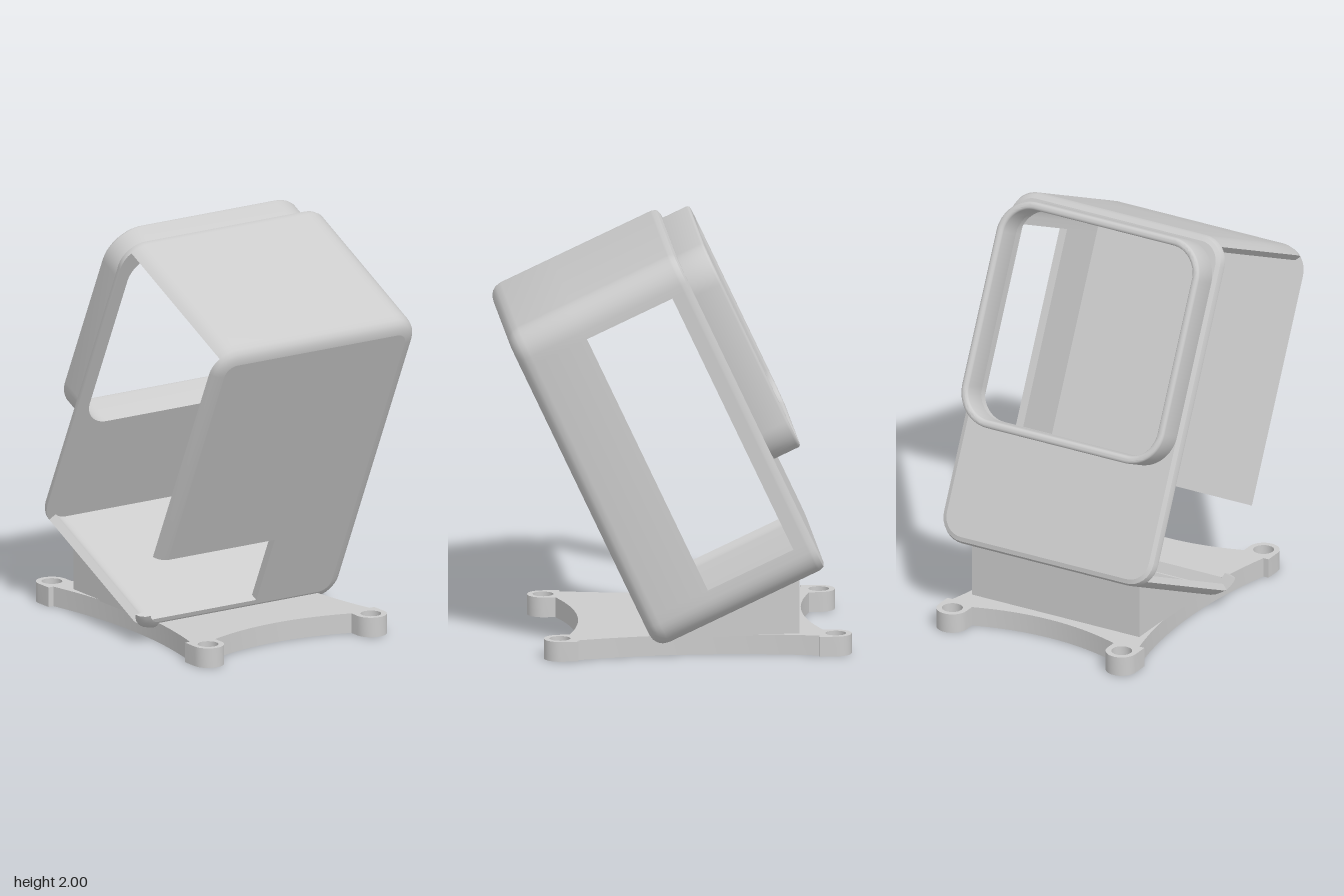
import * as THREE from 'three';
import { toCreasedNormals } from 'three/addons/utils/BufferGeometryUtils.js';

const TILT = THREE.MathUtils.degToRad(25);
const X = 0.592, BOTTOM = 0.087, TOP = 1.806, R = 0.13, WALL = 0.04; // case outline
const BACK = -0.81, FRONT = 0.09, IN_BACK = BACK + WALL, IN_FRONT = FRONT - WALL;
const NOTCH = { x: 0.095, lo: 0.18, hi: 0.55 };
const WINDOW = { lo: 0.263, hi: 1.635, back: -0.708, front: -0.255 };

const material = new THREE.MeshStandardMaterial({ color: 0xcccccc, side: THREE.DoubleSide });

function mesh(name, geometry, crease = 0.6) {
  const m = new THREE.Mesh(toCreasedNormals(geometry, crease), material);
  m.name = name;
  return m;
}

// Counterclockwise case outline, moved inwards by inset; always the same point count
function outline(inset) {
  const pts = [], r = R - inset, n = 8;
  const corner = (cx, cy, start) => {
    for (let k = 0; k <= n; k++) {
      const a = start + (k / n) * Math.PI / 2;
      pts.push([cx + r * Math.cos(a), cy + r * Math.sin(a)]);
    }
  };
  pts.push([X - inset, WINDOW.lo], [X - inset, WINDOW.hi]);
  corner(X - R, TOP - R, 0);
  corner(-X + R, TOP - R, Math.PI / 2);
  pts.push([-X + inset, NOTCH.hi]);
  corner(-X + R, BOTTOM + R, Math.PI);
  corner(X - R, BOTTOM + R, Math.PI * 1.5);
  return pts;
}

// Walls of the case: outer and inner skin over a grid, with openings and their rims
function caseWalls() {
  const fr = 0.07, rings = [[0.03, BACK], [0.009, BACK + 0.009], [0, BACK + 0.03], [0, IN_BACK],
    [0, WINDOW.back], [0, WINDOW.front]];
  for (const a of [0, Math.asin((IN_FRONT - FRONT + fr) / fr), 0.78, 1.17, Math.PI / 2])
    rings.push([fr * (1 - Math.cos(a)), FRONT - fr + fr * Math.sin(a)]);
  const outer = rings.map(([s, w]) => outline(s).map(([x, y]) => [x, y, w]));
  const inner = rings.map(([s, w]) => outline(Math.max(WALL, s))
    .map(([x, y]) => [x, y, Math.min(IN_FRONT, Math.max(IN_BACK, w))]));
  const base = outline(0), N = base.length, M = rings.length - 1;

  const keep = (i, j) => {
    if (i < 0 || i >= M) return true;
    const p = base[j % N], q = base[(j + 1) % N];
    const x = (p[0] + q[0]) / 2, y = (p[1] + q[1]) / 2, w = (rings[i][1] + rings[i + 1][1]) / 2;
    if (x < -0.555 && w > IN_BACK && w < IN_FRONT) return false;                     // open side
    if (x < -0.4 && w > IN_FRONT && y > NOTCH.lo && y < NOTCH.hi) return false;      // front notch
    return !(x > X - 0.01 && y > WINDOW.lo && y < WINDOW.hi && w > WINDOW.back && w < WINDOW.front);
  };

  const pos = [];
  const quad = (a, b, c, d) => pos.push(...a, ...b, ...c, ...a, ...c, ...d);
  for (let i = 0; i < M; i++) for (let j = 0; j < N; j++) {
    if (!keep(i, j)) continue;
    const k = (j + 1) % N;
    quad(outer[i][j], outer[i][k], outer[i + 1][k], outer[i + 1][j]);
    quad(inner[i][j], inner[i + 1][j], inner[i + 1][k], inner[i][k]);
    // rims wherever the neighbouring cell is open
    if (!keep(i, j + N - 1)) quad(outer[i][j], outer[i + 1][j], inner[i + 1][j], inner[i][j]);
    if (!keep(i, k)) quad(outer[i][k], inner[i][k], inner[i + 1][k], outer[i + 1][k]);
    if (!keep(i - 1, j)) quad(outer[i][j], inner[i][j], inner[i][k], outer[i][k]);
    if (!keep(i + 1, j)) quad(outer[i + 1][j], outer[i + 1][k], inner[i + 1][k], inner[i + 1][j]);
  }
  const g = new THREE.BufferGeometry();
  g.setAttribute('position', new THREE.Float32BufferAttribute(pos, 3));
  return g;
}

const toShape = (pts) => new THREE.Shape(pts.map(([x, y]) => new THREE.Vector2(x, y)));

function roundedRect(Type, hx, y0, y1, r) {
  const s = new Type();
  s.absarc(hx - r, y1 - r, r, 0, Math.PI / 2);
  s.absarc(-hx + r, y1 - r, r, Math.PI / 2, Math.PI);
  s.absarc(-hx + r, y0 + r, r, Math.PI, Math.PI * 1.5);
  s.absarc(hx - r, y0 + r, r, Math.PI * 1.5, Math.PI * 2);
  s.closePath();
  return s;
}

function extrude(shape, depth, z, extra = {}) {
  return new THREE.ExtrudeGeometry(shape, { depth, bevelEnabled: false, curveSegments: 10, ...extra })
    .translate(0, 0, z);
}

// Base plate with bowed-in sides and four screw ears
function basePlate() {
  const hx = 0.548, hz = 0.738, r = 0.077, cx = hx - r, cz = hz - r, n = 8;
  const quarter = [];
  for (let k = 0; k <= n; k++)
    quarter.push([(k / n) * (cx - r), hz - 0.2 + 0.07 * (k / n) ** 2]);
  for (let k = 0; k <= n * 2; k++) {
    const a = Math.PI * (1 - k / (n * 2));
    quarter.push([cx + r * Math.cos(a), cz + r * Math.sin(a)]);
  }
  quarter.push([hx, hz - 0.16]);
  for (let k = n; k >= 0; k--)
    quarter.push([0.45 + 0.07 * (k / n) ** 2, (k / n) * (hz - 0.16)]);
  const pts = [], holes = [];
  for (const [sx, sz] of [[1, 1], [1, -1], [-1, -1], [-1, 1]]) {
    const q = quarter.map(([x, z]) => [x * sx, z * sz]);
    if (sx * sz < 0) q.reverse();
    pts.push(...q.slice(0, -1));
    holes.push(new THREE.Path().absarc(cx * sx, cz * sz, 0.05, 0, Math.PI * 2));
  }
  const shape = toShape(pts);
  shape.holes.push(...holes);
  return extrude(shape, 0.097, 0).rotateX(-Math.PI / 2).translate(0, 0, -0.083);
}

export function createModel() {
  const model = new THREE.Group();
  model.name = 'tiltedCaseMount';

  // Tilted case
  const box = new THREE.Group();
  box.name = 'case';
  box.rotation.x = TILT;
  box.add(mesh('caseWalls', caseWalls()));

  // Front plate with the corner notch
  const front = outline(0.07).flatMap(([x, y]) => {
    if (x < -0.3 && y === NOTCH.hi)
      return [[x, y], [NOTCH.x, NOTCH.hi], [NOTCH.x, NOTCH.lo], [-0.508, NOTCH.lo]];
    return x < -0.3 && y > NOTCH.lo && y < NOTCH.hi ? [] : [[x, y]];
  });
  box.add(mesh('frontPlate', extrude(toShape(front), WALL, IN_FRONT)));

  // Back plate with the large opening, and the collar around it
  const opening = () => roundedRect(THREE.Path, 0.525, 0.7, 1.73, 0.14);
  const back = toShape(outline(0.03));
  back.holes.push(opening());
  box.add(mesh('backPlate', extrude(back, WALL, BACK)));
  const collar = roundedRect(THREE.Shape, 0.562, 0.662, 1.768, 0.178);
  collar.holes.push(opening());
  const b = 0.014;
  box.add(mesh('collar', extrude(collar, 0.16 - 2 * b, -0.952 + b, {
    bevelEnabled: true, bevelSize: b, bevelThickness: b, bevelOffset: -b, bevelSegments: 3 })));
  model.add(box);

  // Wedge between case and base
  const wedge = toShape([[0.57, 0.09], [0.57, 0.372], [-0.02, 0.097], [-0.02, 0.09]]);
  model.add(mesh('wedge', extrude(wedge, 0.93, -0.465).rotateY(Math.PI / 2)));

  model.add(mesh('basePlate', basePlate()));
  return model;
}
